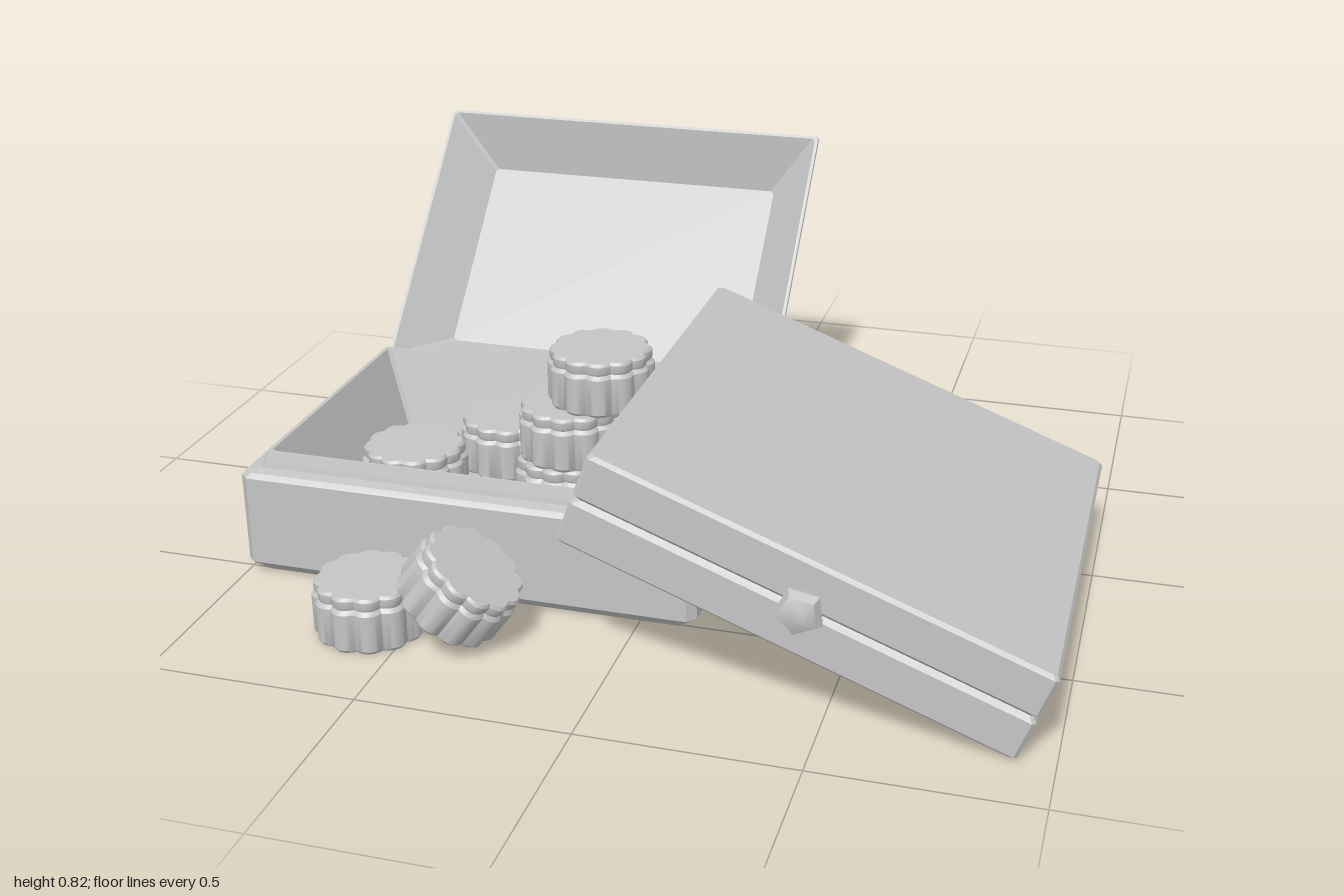
import * as THREE from 'three';
import { toCreasedNormals } from 'three/addons/utils/BufferGeometryUtils.js';

const grey = new THREE.MeshStandardMaterial({ color: 0xc4c4c4 });
grey.name = 'plain grey';

// Skin a stack of closed rings; rings = [{ y, pts: [[x, z], ...] }], capped at both ends
function loft(rings, crease) {
  const pos = [];
  const at = (r, i) => {
    const p = r.pts[i % r.pts.length];
    return [p[0], r.y, p[1]];
  };
  const n = rings[0].pts.length;
  const first = rings[0], last = rings[rings.length - 1];
  for (let i = 0; i < n; i++) {
    for (let k = 0; k < rings.length - 1; k++) {
      const a = at(rings[k], i), b = at(rings[k], i + 1);
      const c = at(rings[k + 1], i + 1), d = at(rings[k + 1], i);
      pos.push(...a, ...d, ...b, ...b, ...d, ...c);
    }
    pos.push(0, first.y, 0, ...at(first, i), ...at(first, i + 1));
    pos.push(0, last.y, 0, ...at(last, i + 1), ...at(last, i));
  }
  const g = new THREE.BufferGeometry();
  g.setAttribute('position', new THREE.Float32BufferAttribute(pos, 3));
  g.computeVertexNormals();
  return crease ? toCreasedNormals(g, crease) : g;
}

// Rectangle with clipped corners: half width, half depth, height, clip
function rect(w, d, y, c = 0.008) {
  return { y, pts: [
    [w, -d + c], [w, d - c], [w - c, d], [-w + c, d],
    [-w, d - c], [-w, -d + c], [-w + c, -d], [w - c, -d],
  ] };
}

// Fluted outline with twelve lobes
function flutes(r, y) {
  const pts = [];
  for (let i = 0; i < 96; i++) {
    const a = (i / 96) * Math.PI * 2;
    const q = r * (0.91 + 0.09 * Math.abs(Math.sin(6 * a)));
    pts.push([q * Math.cos(a), q * Math.sin(a)]);
  }
  return { y, pts };
}

function add(parent, name, geometry, x = 0, y = 0, z = 0) {
  const m = new THREE.Mesh(geometry, grey);
  m.name = name;
  m.position.set(x, y, z);
  parent.add(m);
  return m;
}

export function createModel() {
  const model = new THREE.Group();
  model.name = 'boxesOfSweets';

  // Open box: tray with ledge, raised lip and sloping hollow
  const open = new THREE.Group();
  open.name = 'openBox';
  model.add(open);
  add(open, 'tray', loft([
    rect(0.54, 0.37, 0, 0.02), rect(0.57, 0.4, 0.03, 0.02),
    rect(0.57, 0.4, 0.255, 0.02), rect(0.56, 0.39, 0.267, 0.02),
    rect(0.527, 0.363, 0.272), rect(0.524, 0.36, 0.285),
    rect(0.515, 0.353, 0.31), rect(0.505, 0.343, 0.31),
    rect(0.43, 0.29, 0.11),
  ]), -0.43, 0.01, 0.135);

  // Lid of the open box, tipped back
  const lid = add(open, 'openLid', loft([
    rect(0.478, 0.343, -0.135), rect(0.487, 0.352, -0.129),
    rect(0.545, 0.397, -0.006), rect(0.543, 0.395, 0),
    rect(0.535, 0.387, 0), rect(0.418, 0.275, -0.12),
  ]), -0.425, 0.545, -0.5475);
  lid.rotation.x = 0.797;

  // Closed box, leaning on the open one
  const closed = new THREE.Group();
  closed.name = 'closedBox';
  closed.position.set(0.457, 0.302, 0.32);
  closed.rotation.z = -0.36;
  model.add(closed);
  const half = loft([
    rect(0.52, 0.522, -0.056), rect(0.532, 0.534, -0.045),
    rect(0.532, 0.534, 0.048), rect(0.523, 0.525, 0.056),
  ]);
  add(closed, 'closedBase', half, 0, -0.056, 0).rotation.z = Math.PI;
  add(closed, 'closedLid', half, 0, 0.056, 0);

  // Five-sided clasp knob
  const knobProfile = [[0, -0.01], [0.05, -0.01], [0.057, 0.012], [0.046, 0.032], [0.02, 0.043], [0, 0.044]];
  const knobGeo = toCreasedNormals(
    new THREE.LatheGeometry(knobProfile.map(p => new THREE.Vector2(...p)), 5), 0.6);
  const knob = add(closed, 'claspKnob', knobGeo, 0, 0, 0.534);
  knob.rotation.set(Math.PI / 2, 0.17, 0);

  // Fluted sweets: in the tray, stacked, and spilled in front
  const sweet = loft([
    flutes(0.126, 0), flutes(0.132, 0.008), flutes(0.132, 0.098),
    flutes(0.123, 0.107), flutes(0.126, 0.113), flutes(0.126, 0.13),
    flutes(0.12, 0.137),
  ], 0.6);
  const places = [
    [-0.51, 0.12, -0.02, 0], [-0.68, 0.12, 0.215, 0],
    [-0.29, 0.12, 0.165, 0], [-0.28, 0.257, 0.158, 0], [-0.213, 0.394, 0.122, 0],
    [-0.593, 0.01, 0.7, 0], [-0.403, 0.1, 0.703, -0.63],
  ];
  places.forEach(([x, y, z, tilt], i) => {
    const s = add(model, 'sweet' + (i + 1), sweet, x, y, z);
    s.rotation.set(0, i * 0.13, tilt);
    s.rotation.order = 'ZYX';
  });

  return model;
}
